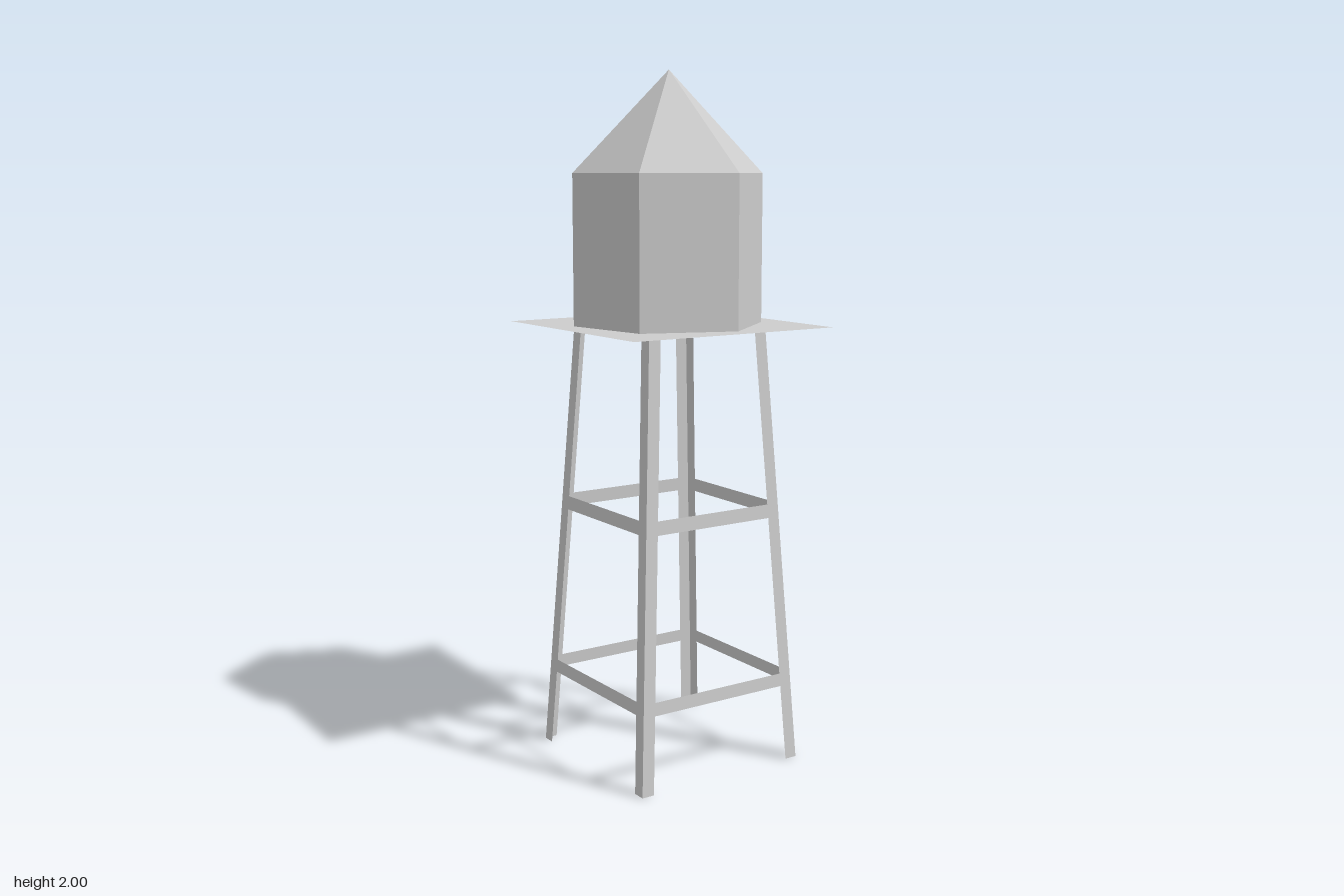
import * as THREE from 'three';

const DECK_Y = 1.283;
const ARM = 0.038; // width of the angle-iron flanges

// Half spacing of the leg corners at height y (legs lean inward)
const half = (y) => 0.272 - 0.074 * (y / DECK_Y);

export function createModel() {
  const model = new THREE.Group();
  model.name = 'waterTower';

  const paint = new THREE.MeshStandardMaterial({ color: 0xcccccc, side: THREE.DoubleSide, flatShading: true });
  paint.name = 'lightGrey';

  const add = (parent, geometry, name) => {
    const mesh = new THREE.Mesh(geometry, paint);
    mesh.name = name;
    parent.add(mesh);
    return mesh;
  };

  // Sheet spanned between a lower and an upper row of points
  const sheet = (low, high) => {
    const p = [];
    for (let i = 0; i < low.length - 1; i++) {
      p.push(...low[i], ...low[i + 1], ...high[i + 1], ...low[i], ...high[i + 1], ...high[i]);
    }
    const g = new THREE.BufferGeometry();
    g.setAttribute('position', new THREE.Float32BufferAttribute(p, 3));
    g.computeVertexNormals();
    return g;
  };

  // Six-sided tank and pointed roof
  const tank = add(model, new THREE.CylinderGeometry(0.278, 0.278, 0.43, 6, 1, true), 'tank');
  tank.position.set(0, DECK_Y + 0.215, -0.002);
  const roof = add(model, new THREE.ConeGeometry(0.278, 0.287, 6, 1, true), 'roof');
  roof.position.set(0, 1.8565, -0.002);

  // Stand, turned relative to the tank
  const stand = new THREE.Group();
  stand.name = 'stand';
  stand.rotation.y = THREE.MathUtils.degToRad(50.7);
  model.add(stand);

  // Thin square deck
  const deck = add(stand, new THREE.PlaneGeometry(0.668, 0.668), 'platform');
  deck.rotation.x = -Math.PI / 2;
  deck.position.y = DECK_Y;

  // L-section leg, corner pointing outward
  const legRow = (y) => {
    const h = half(y);
    return [[h - ARM, y, h], [h, y, h], [h, y, h - ARM]];
  };
  // Flat brace between the flanges of two neighbouring legs
  const braceRow = (y) => {
    const h = half(y);
    return [[ARM - h, y, h], [h - ARM, y, h]];
  };

  for (let i = 0; i < 4; i++) {
    const side = new THREE.Group();
    side.name = 'standSide';
    side.rotation.y = (i * Math.PI) / 2;
    stand.add(side);
    add(side, sheet(legRow(0), legRow(DECK_Y)), 'leg');
    add(side, sheet(braceRow(0.224), braceRow(0.262)), 'lowerBrace');
    add(side, sheet(braceRow(0.729), braceRow(0.769)), 'upperBrace');
  }

  return model;
}
